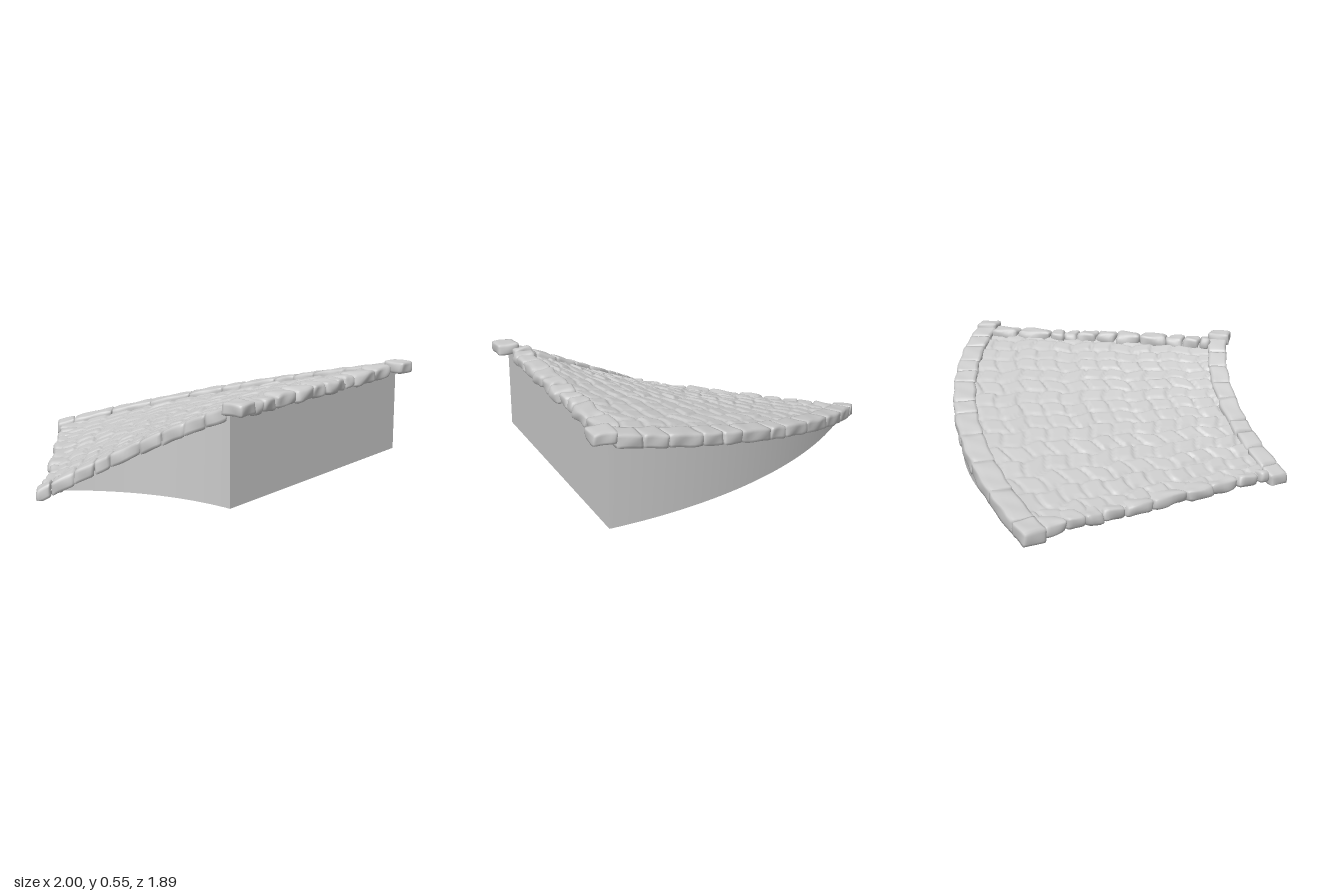
import * as THREE from 'three';
import { mergeVertices, mergeGeometries, toCreasedNormals } from 'three/addons/utils/BufferGeometryUtils.js';

// The ramp turns 45 degrees about a vertical axis at (CX, CZ), rising as it turns.
const CX = -0.95, CZ = 1.72, TURN = Math.PI / 4;
const material = new THREE.MeshStandardMaterial({ color: 0xcccccc });

function seeded(seed) {
  return () => {
    seed = (seed * 16807) % 2147483647;
    return seed / 2147483647;
  };
}
const hash = (a, b) => {
  const n = Math.sin(a * 127.1 + b * 311.7) * 43758.5453;
  return n - Math.floor(n);
};

// Height of the walking surface at a given angle
function rampY(a) {
  const t = (a / TURN + Math.sin(a) / Math.sin(TURN)) / 2;
  return 0.05 + 0.46 * t;
}

// Move every vertex of a geometry by a rule
function warp(geometry, rule) {
  const pos = geometry.attributes.position, p = new THREE.Vector3();
  for (let i = 0; i < pos.count; i++) {
    p.fromBufferAttribute(pos, i);
    rule(p);
    pos.setXYZ(i, p.x, p.y, p.z);
  }
  return geometry;
}

// Polar position; s is a straight offset along the direction of travel
function polar(p, r, a, y, s = 0) {
  p.set(CX + r * Math.sin(a) + s * Math.cos(a), y, CZ - r * Math.cos(a) + s * Math.sin(a));
}

// Worn block with rounded edges: x along travel, y up, z towards the axis
function stone(w, h, d, seed, wear = 0.006, round = 0.016) {
  let g = new THREE.BoxGeometry(w, h, d, 7, 4, 7);
  g.deleteAttribute('normal');
  g.deleteAttribute('uv');
  g = mergeVertices(g, 1e-4);
  const half = new THREE.Vector3(w / 2, h / 2, d / 2).subScalar(round);
  const core = new THREE.Vector3();
  const tilt = (hash(seed, 5) - 0.5) * 0.1, skew = (hash(seed, 8) - 0.5) * 0.12;
  return warp(g, p => {
    core.copy(p).clamp(half.clone().negate(), half);
    p.sub(core);
    if (p.lengthSq() > 0) p.setLength(round);
    p.add(core);
    const k = seed * 3.7;
    p.x += wear * Math.sin(p.z * 37 + p.y * 50 + k) + p.z * skew * 0.5;
    p.y += wear * 0.7 * Math.sin(p.x * 41 + p.z * 33 + k * 2) + p.z * tilt * 0.5;
    p.z += wear * Math.sin(p.x * 39 + p.y * 45 + k * 3);
  });
}

// Uneven cuts from a to b
function cuts(a, b, n, seed, spread) {
  const rnd = seeded(seed);
  const list = Array.from({ length: n }, () => 1 + (rnd() - 0.5) * spread);
  const total = list.reduce((x, y) => x + y);
  let at = a;
  return list.map(v => {
    const from = at;
    at += (v / total) * (b - a);
    return [from, at];
  });
}

function mesh(name, geometry) {
  const m = new THREE.Mesh(geometry, material);
  m.name = name;
  return m;
}
function stoneMesh(name, list) {
  const g = mergeGeometries(list);
  g.computeVertexNormals();
  return mesh(name, g);
}

// Curved kerb following the slope
function kerb(name, rIn, rOut, n, seed) {
  const r = (rIn + rOut) / 2;
  const list = cuts(-0.05 / r, TURN - 0.02 / r, n, seed, 0.8).map(([a, b], i) => {
    const mid = (a + b) / 2;
    const g = stone((b - a) * r - 0.002, 0.07, rOut - rIn, seed + i, 0.003, 0.01);
    return warp(g, p => {
      const angle = mid + p.x / r;
      polar(p, r - p.z, angle, Math.max(0.003, rampY(angle) - 0.008 + p.y));
    });
  });
  return stoneMesh(name, list);
}

// Straight row of rough stones laid along a radius
function edgeRow(name, angle, s, y, h, n, seed) {
  const rnd = seeded(seed + 50);
  const list = cuts(1.29, 2.56, n, seed, 1.1).map(([a, b], i) => {
    const shift = (rnd() - 0.5) * 0.02, lift = (rnd() - 0.5) * 0.008;
    const g = stone(0.105 + rnd() * 0.02, h, b - a - 0.003, seed + i, 0.005, 0.02);
    return warp(g, p => polar(p, (a + b) / 2 - p.z, angle, Math.max(0.004, y + lift + p.y), s + shift + p.x));
  });
  return stoneMesh(name, list);
}

// Level block closing a kerb at the top
function endCap(name, r, seed) {
  const g = stone(0.12, 0.062, 0.115, seed, 0.003, 0.012);
  return stoneMesh(name, [warp(g, p => polar(p, r - p.z, TURN, 0.519 + p.y, 0.025 + p.x))]);
}

// Relief of the staggered, gently domed paving stones
function pavingRelief(u, v) {
  const wavyU = u * 15 + 0.12 * Math.sin(v * 23) + 0.08 * Math.sin(v * 51 + 2);
  const row = Math.floor(wavyU), fu = wavyU - row;
  const across = v * 12 + hash(row, 3) + 0.15 * Math.sin(u * 40 + row);
  const col = Math.floor(across), fv = across - col;
  const edge = Math.min(1, Math.min(fu, 1 - fu) * 6) * Math.min(1, Math.min(fv, 1 - fv) * 7);
  const lean = (fu - 0.5) * (hash(row, col) - 0.2) + (fv - 0.5) * (hash(col, row + 9) - 0.5);
  return -0.01 + Math.sqrt(edge) * (0.012 + 0.007 * hash(row + 4, col) + 0.012 * lean);
}

export function createModel() {
  const group = new THREE.Group();
  group.name = 'curvedStoneRamp';

  // Solid wedge below the paving
  let body = new THREE.BoxGeometry(1, 1, 1, 32, 1, 1);
  body.deleteAttribute('uv');
  warp(body, p => {
    const a = (p.x + 0.5) * TURN;
    polar(p, p.z > 0 ? 1.216 : 2.63, a, p.y < 0 ? 0.05 : Math.max(0.051, rampY(a) - 0.02));
  });
  body = toCreasedNormals(body, 0.5);
  group.add(mesh('rampBody', body));

  // Paved walking surface
  const paving = new THREE.PlaneGeometry(1, 1, 150, 130);
  warp(paving, p => {
    const u = p.x + 0.5, v = p.y + 0.5, a = u * TURN;
    polar(p, 1.25 + v * 1.35, a, rampY(a) + pavingRelief(u, v));
  });
  paving.computeVertexNormals();
  group.add(mesh('paving', paving));

  // Kerbs, edge rows and caps
  group.add(
    kerb('innerKerb', 1.2, 1.3, 9, 11),
    kerb('outerKerb', 2.555, 2.67, 12, 37),
    edgeRow('lowerEdgeStones', 0, 0.04, 0.04, 0.06, 10, 71),
    edgeRow('upperEdgeStones', TURN, -0.035, 0.494, 0.068, 11, 93),
    endCap('innerEndCap', 1.247, 5),
    endCap('outerEndCap', 2.612, 8),
  );
  return group;
}
